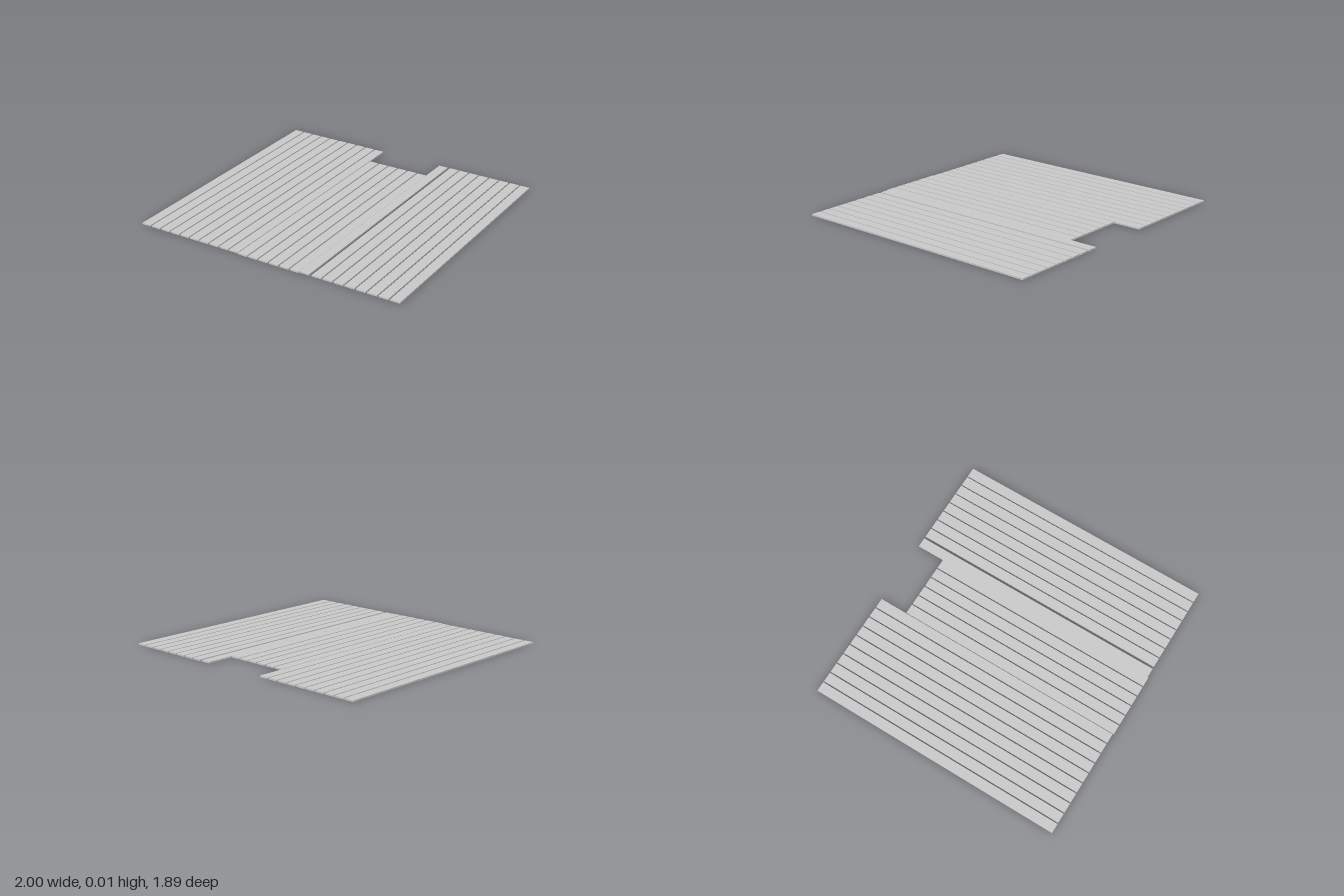
import * as THREE from 'three';

const THICKNESS = 0.011;
const WIDTH = 0.07;

export function createModel() {
  const deck = new THREE.Group();
  deck.name = 'plankDeck';
  const material = new THREE.MeshStandardMaterial({ color: 0xcccccc });

  // A run of parallel planks; first and last are the left edges of the end planks
  function addPlanks(name, count, first, last, back, front) {
    const section = new THREE.Group();
    section.name = name;
    const geometry = new THREE.BoxGeometry(WIDTH, THICKNESS, front - back);
    for (let i = 0; i < count; i++) {
      const plank = new THREE.Mesh(geometry, material);
      plank.name = 'plank';
      const x = count > 1 ? first + ((last - first) * i) / (count - 1) : first;
      plank.position.set(x + WIDTH / 2, THICKNESS / 2, (back + front) / 2);
      section.add(plank);
    }
    deck.add(section);
  }

  // Full-length planks on the right side
  addPlanks('rightPlanks', 10, -1, -0.276, -0.943, 0.936);
  // Shorter planks leaving the notch at the back
  addPlanks('middlePlanks', 6, -0.2, 0.203, -0.738, 0.943);
  // Full-length planks on the left side, the first tight against the middle ones
  addPlanks('leftInnerPlank', 1, 0.274, 0.274, -0.943, 0.936);
  addPlanks('leftPlanks', 8, 0.363, 0.93, -0.943, 0.936);

  return deck;
}
